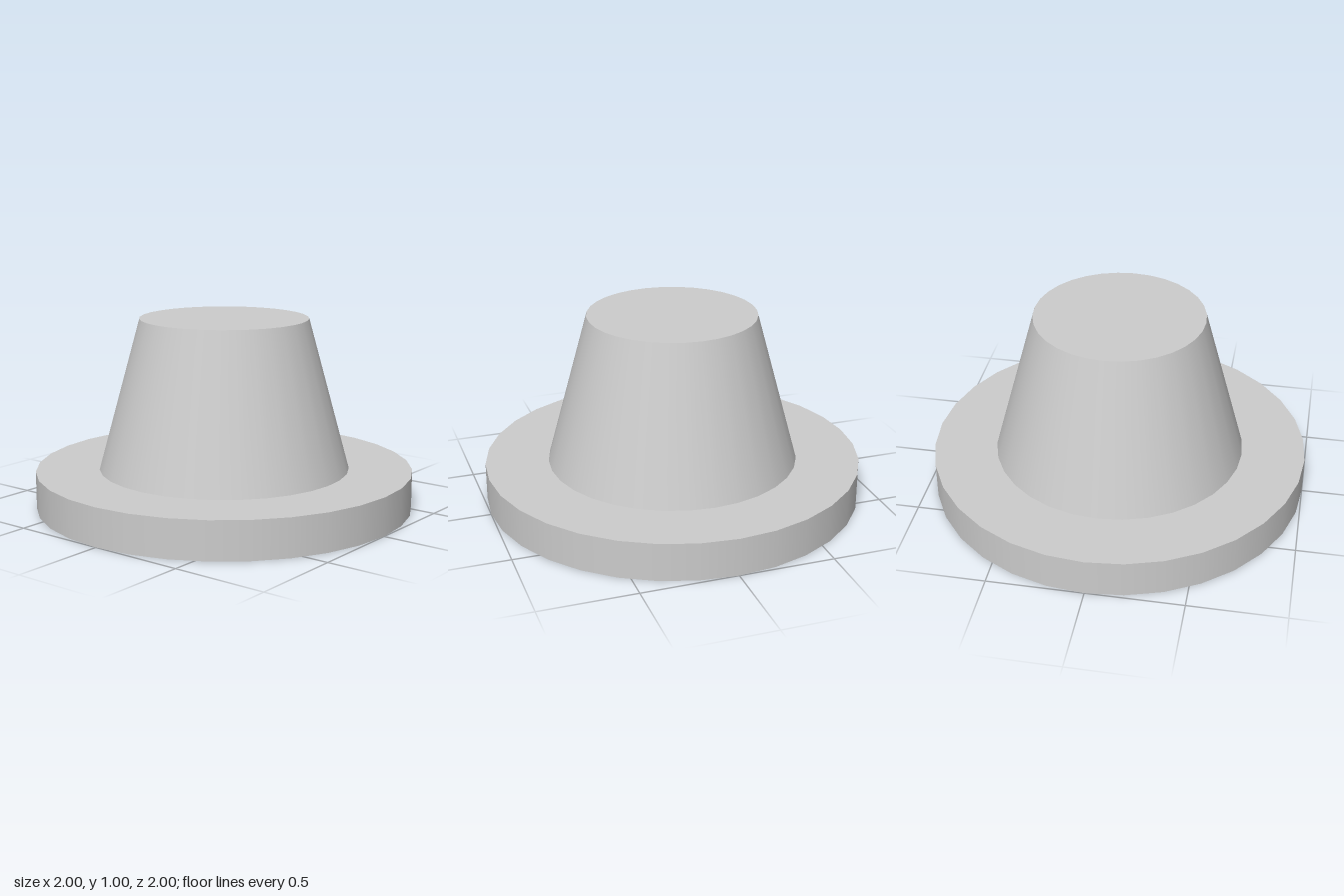
import * as THREE from 'three';

const SEGMENTS = 32;

export function createModel() {
  const model = new THREE.Group();
  model.name = 'hat';
  const material = new THREE.MeshStandardMaterial({ color: 0xcccccc });

  // Round part standing on height y
  const addRound = (name, topRadius, bottomRadius, height, y) => {
    const geometry = new THREE.CylinderGeometry(topRadius, bottomRadius, height, SEGMENTS);
    const mesh = new THREE.Mesh(geometry, material);
    mesh.name = name;
    mesh.position.y = y + height / 2;
    model.add(mesh);
  };

  // Flat disc brim and the tapered crown on top of it
  addRound('brim', 1, 1, 0.2, 0);
  addRound('crown', 0.445, 0.665, 0.8, 0.2);

  return model;
}
